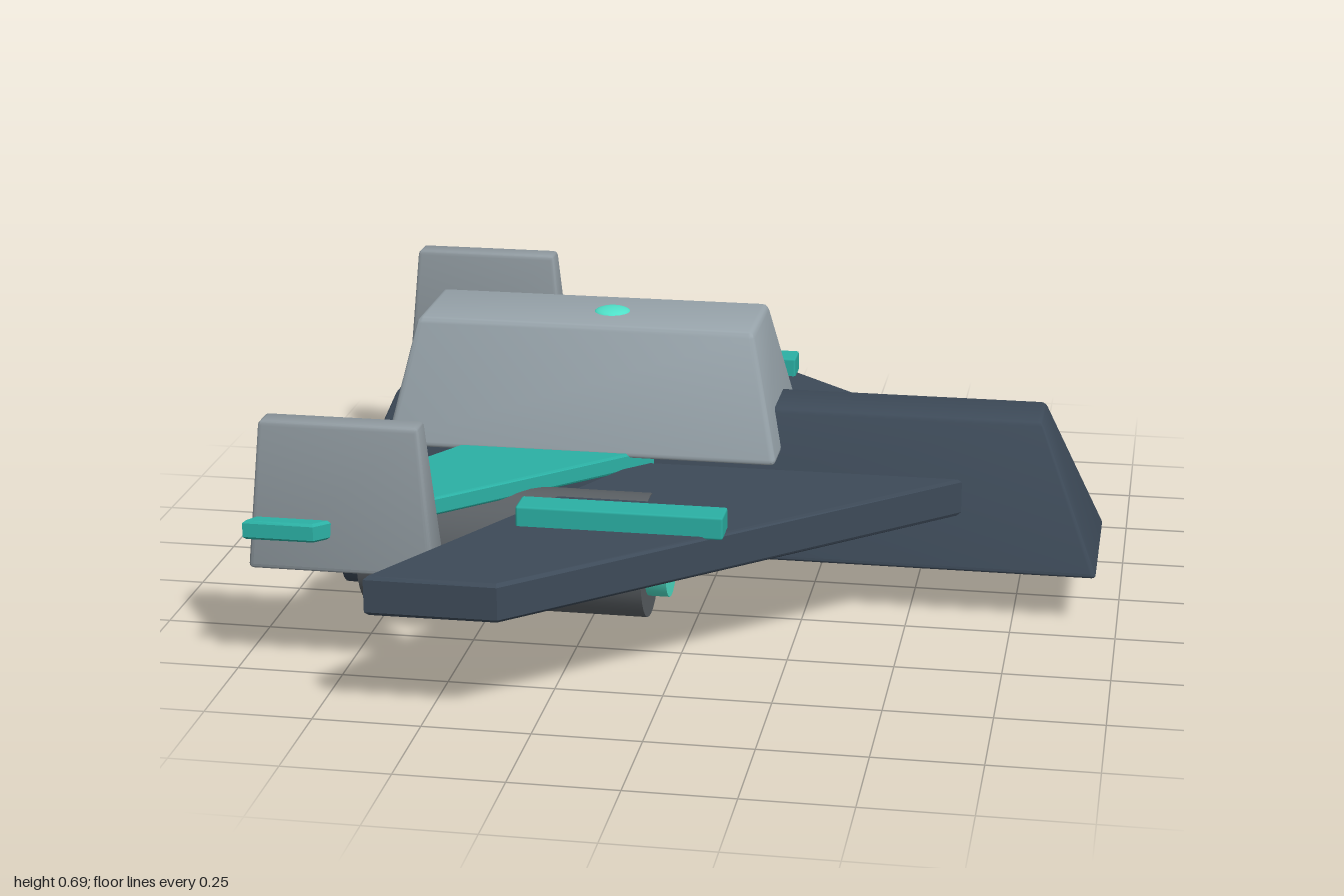
import * as THREE from 'three';
import { RoundedBoxGeometry } from 'three/addons/geometries/RoundedBoxGeometry.js';
import { toCreasedNormals } from 'three/addons/utils/BufferGeometryUtils.js';

const mat = (color) => new THREE.MeshStandardMaterial({ color });

export function createModel() {
  const model = new THREE.Group();
  model.name = 'fighterCraft';
  const slate = mat(0x3d4a58), hullGrey = mat(0x98a4ab), finGrey = mat(0x8f999f);
  const engineGrey = mat(0x5a5f63), teal = mat(0x2bb0a4), glow = mat(0x4fe0c8);

  const add = (name, geometry, material, x = 0, y = 0, z = 0) => {
    const mesh = new THREE.Mesh(geometry, material);
    mesh.name = name;
    mesh.position.set(x, y, z);
    model.add(mesh);
    return mesh;
  };

  // Box with softened edges whose top is scaled to topL x topW
  const taperedBox = (length, height, width, topL, topW, bevel = 0.012) => {
    const g = new RoundedBoxGeometry(length, height, width, 2, bevel);
    const p = g.attributes.position;
    for (let i = 0; i < p.count; i++) {
      const t = p.getY(i) / height + 0.5;
      p.setX(i, p.getX(i) * (1 + t * (topL / length - 1)));
      p.setZ(i, p.getZ(i) * (1 + t * (topW / width - 1)));
    }
    return toCreasedNormals(g, 0.6);
  };

  // Flat plate from an x/z outline, lying between y0 and y1
  const plate = (outline, side, y0, y1, bevel) => {
    const shape = new THREE.Shape(outline.map(([x, z]) => new THREE.Vector2(x, z * side)));
    const g = new THREE.ExtrudeGeometry(shape, {
      depth: y1 - y0 - 2 * bevel, bevelThickness: bevel, bevelSize: bevel,
      bevelOffset: -bevel, bevelSegments: 1,
    });
    g.rotateX(Math.PI / 2);
    g.translate(0, y1 - bevel, 0);
    return g;
  };

  // Cylinder along x, slightly taller than wide
  const drum = (rz, ry, length, sides) => {
    const g = new THREE.CylinderGeometry(1, 1, length, sides);
    g.rotateZ(Math.PI / 2);
    g.scale(1, ry, rz);
    return toCreasedNormals(g, 0.6);
  };

  // Body
  add('fuselage', taperedBox(1.88, 0.35, 0.39, 1.58, 0.155), slate, 0.01, 0.305, 0);
  add('cabin', taperedBox(0.96, 0.305, 0.43, 0.82, 0.25, 0.015), hullGrey, -0.3, 0.53, 0);
  add('roofLight', new THREE.SphereGeometry(0.045, 20, 12).scale(1, 0.3, 1), glow, -0.255, 0.679, 0);

  // Belly turret
  add('bellyMount', new THREE.CylinderGeometry(0.12, 0.12, 0.08, 28), engineGrey, -0.18, 0.13, 0);
  add('bellySensor', new THREE.SphereGeometry(0.075, 24, 16), glow, -0.08, 0.08, 0);

  // Paired parts
  const wing = [[0.62, 0.16], [-0.32, 1], [-0.62, 1], [-0.165, 0.16]];
  const tail = [[-0.125, 0.16], [-0.79, 0.8], [-0.955, 0.8], [-0.565, 0.16]];
  for (const s of [-1, 1]) {
    add('mainWing', plate(wing, s, 0.262, 0.354, 0.008), slate);
    add('tailWing', plate(tail, s, 0.345, 0.39, 0.006), teal);
    add('tailFin', taperedBox(0.435, 0.35, 0.108, 0.37, 0.06), finGrey, -0.737, 0.44, 0.722 * s);
    add('wingRail', new RoundedBoxGeometry(0.48, 0.055, 0.076, 1, 0.006), teal, -0.12, 0.374, 0.602 * s);
    add('engine', drum(0.134, 0.149, 0.68, 32), engineGrey, -0.43, 0.209, 0.402 * s);
    add('engineNozzle', drum(0.096, 0.107, 0.1, 24), slate, -0.77, 0.209, 0.402 * s);
    add('engineIntake', drum(0.086, 0.098, 0.1, 24), glow, -0.09, 0.209, 0.402 * s);
  }
  return model;
}
